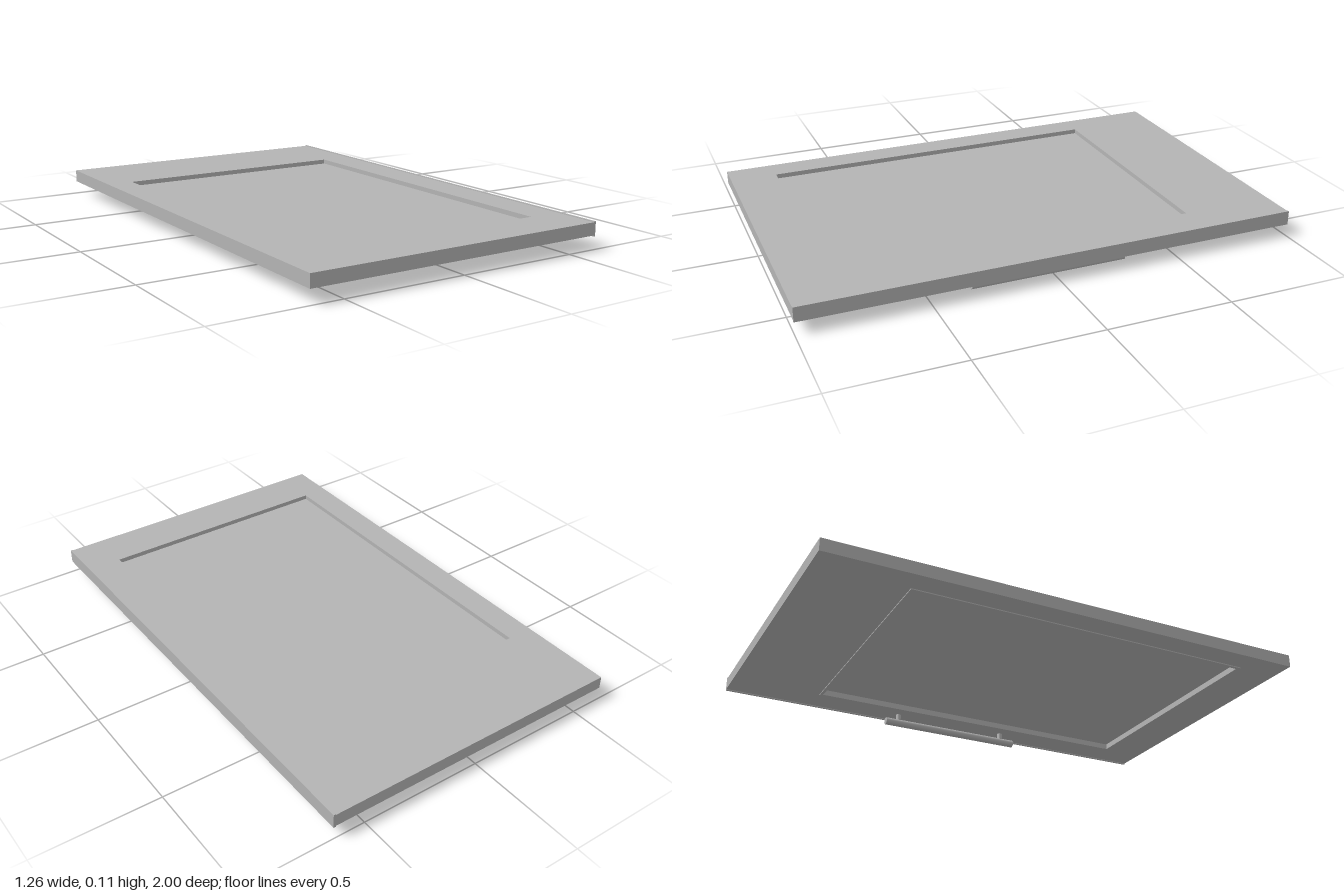
import * as THREE from 'three';

const grey = new THREE.MeshStandardMaterial({ color: 0xb4b4b4 });
grey.name = 'satin grey';

// Rectangular opening: x and z limits
const OPEN = { x0: -0.52, x1: 0.485, z0: -0.615, z1: 0.81 };

function add(group, name, geometry, x = 0, y = 0, z = 0) {
  const mesh = new THREE.Mesh(geometry, grey);
  mesh.name = name;
  mesh.position.set(x, y, z);
  group.add(mesh);
  return mesh;
}

function rect(path, x0, x1, z0, z1) {
  path.moveTo(x0, z0);
  path.lineTo(x1, z0);
  path.lineTo(x1, z1);
  path.lineTo(x0, z1);
  path.closePath();
  return path;
}

// Flat ring around the opening, lying in the xz plane between y0 and y1
function ring(x0, x1, z0, z1, y0, y1) {
  const shape = rect(new THREE.Shape(), x0, x1, z0, z1);
  shape.holes.push(rect(new THREE.Path(), OPEN.x0, OPEN.x1, OPEN.z0, OPEN.z1));
  const geo = new THREE.ExtrudeGeometry(shape, { depth: y1 - y0, bevelEnabled: false });
  geo.rotateX(Math.PI / 2); // shape y becomes z, depth points down
  geo.translate(0, y1, 0);
  return geo;
}

export function createModel() {
  const door = new THREE.Group();
  door.name = 'door';

  // Slab with a rectangular cut-out
  add(door, 'doorFrame', ring(-0.63, 0.625, -1, 1, 0.055, 0.106));

  // Thin trim around the opening on the underside
  const t = 0.013;
  add(door, 'openingTrim', ring(OPEN.x0 - t, OPEN.x1 + t, OPEN.z0 - t, OPEN.z1 + t, 0.051, 0.055));

  // Pane set back from both faces
  add(door, 'pane', new THREE.BoxGeometry(OPEN.x1 - OPEN.x0, 0.012, OPEN.z1 - OPEN.z0),
    (OPEN.x0 + OPEN.x1) / 2, 0.081, (OPEN.z0 + OPEN.z1) / 2);

  // Edge strip, slightly proud of the slab
  add(door, 'edgeStrip', new THREE.BoxGeometry(0.009, 0.058, 2), 0.6255, 0.08, 0);

  // Bar handle on two posts
  const handle = new THREE.Group();
  handle.name = 'handle';
  const bar = new THREE.CylinderGeometry(0.016, 0.016, 0.63, 32);
  bar.rotateX(Math.PI / 2);
  add(handle, 'handleBar', bar, 0.555, 0.016, 0.015);
  for (const z of [0.267, -0.24])
    add(handle, 'handlePost', new THREE.CylinderGeometry(0.011, 0.011, 0.04, 24), 0.555, 0.037, z);
  door.add(handle);

  return door;
}
